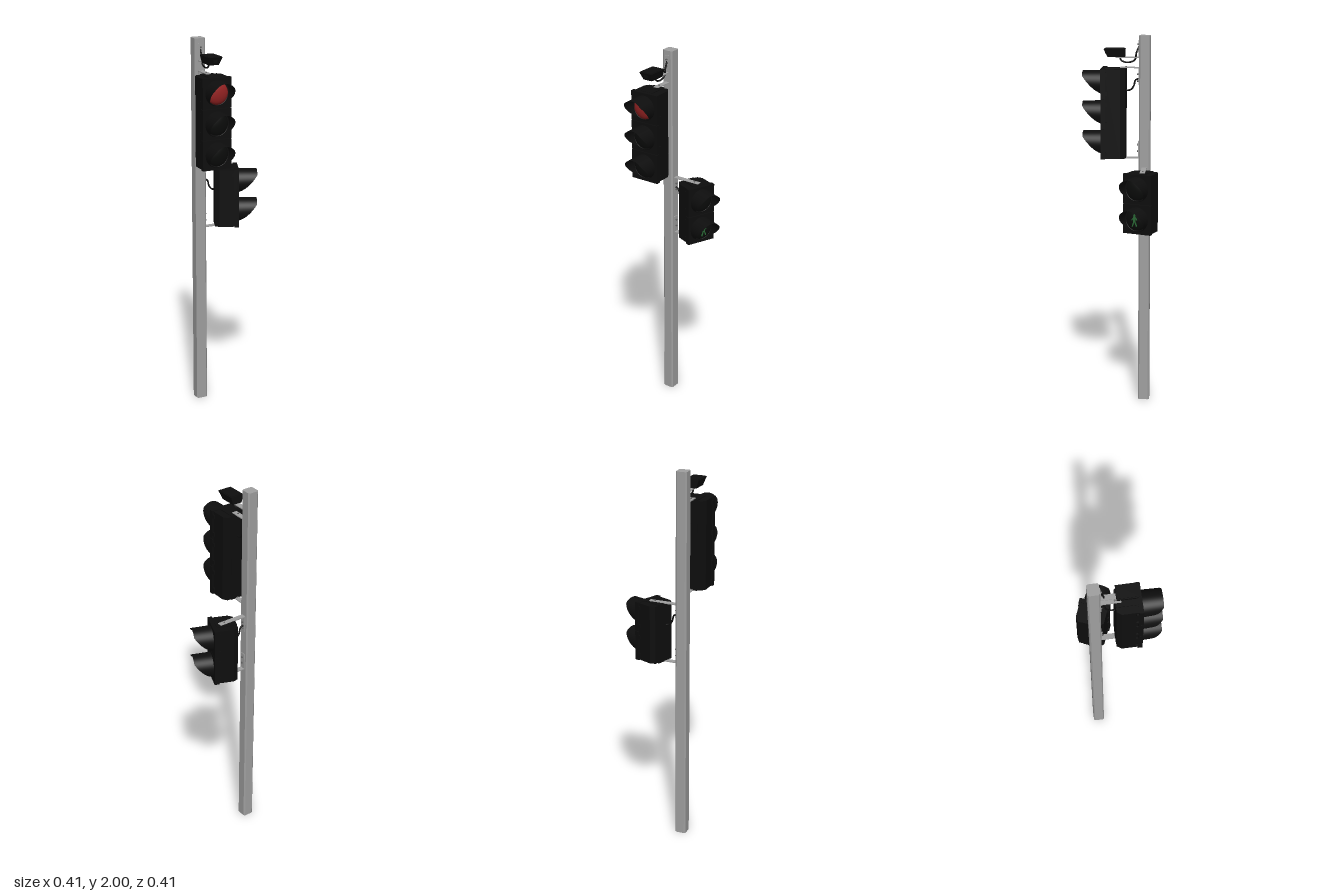
import * as THREE from 'three';
import { ParametricGeometry } from 'three/addons/geometries/ParametricGeometry.js';

const mat = (name, color, side = THREE.FrontSide) => {
  const m = new THREE.MeshStandardMaterial({ color, side });
  m.name = name;
  return m;
};
const V = (x, y, z) => new THREE.Vector3(x, y, z);

export function createModel() {
  const steel = mat('galvanised steel', 0xa0a0a0);
  const darkSteel = mat('bolt steel', 0x6a6a6a);
  const black = mat('black housing', 0x0e0e0e, THREE.DoubleSide);
  const glass = mat('unlit lens', 0x0b0c0b);
  const red = mat('red lens', 0x962323);
  const green = mat('green figure', 0x2a6a36);

  const root = new THREE.Group();
  root.name = 'trafficSignalPost';

  const add = (parent, name, geo, m, x = 0, y = 0, z = 0) => {
    const mesh = new THREE.Mesh(geo, m);
    mesh.name = name;
    mesh.position.set(x, y, z);
    parent.add(mesh);
    return mesh;
  };
  const group = (parent, name, x, y, z, turn = 0) => {
    const g = new THREE.Group();
    g.name = name;
    g.position.set(x, y, z);
    g.rotation.y = turn;
    parent.add(g);
    return g;
  };
  const box = (w, h, d) => new THREE.BoxGeometry(w, h, d);
  // Upright prism from [x, z] plan points
  const prism = (plan, height) => {
    const shape = new THREE.Shape(plan.map(([x, z]) => new THREE.Vector2(x, -z)));
    return new THREE.ExtrudeGeometry(shape, { depth: height, bevelEnabled: false }).rotateX(-Math.PI / 2);
  };
  const cable = (parent, points) => add(parent, 'cable',
    new THREE.TubeGeometry(new THREE.CatmullRomCurve3(points), 24, 0.0045, 8), black);

  // Square post with chamfered corners
  const h = 0.03, c = 0.023;
  const post = prism([[-h, -c], [-c, -h], [c, -h], [h, -c], [h, c], [c, h], [-c, h], [-h, c]], 2);
  add(root, 'post', post, steel, -0.125, 0, -0.125);

  // Visor: a tube whose length shrinks from the crown down to the sides
  const visorGeo = new ParametricGeometry((u, v, p) => {
    const a = (u * 2 - 1) * 2.5, t = Math.abs(a);
    const len = 0.1 - 0.094 * Math.pow(Math.max(0, (t - 0.85) / 1.65), 1.25);
    const r = 0.066 - 0.002 * v;
    p.set(r * Math.sin(a), r * Math.cos(a), len * v);
  }, 40, 4);
  const lensGeo = new THREE.SphereGeometry(0.059, 32, 10, 0, Math.PI * 2, 0, Math.PI / 2)
    .rotateX(Math.PI / 2).scale(1, 1, 0.4);

  // One signal head; lens materials run from the bottom upward
  const signalHead = (name, lenses, x, y, z, turn) => {
    const g = group(root, name, x, y, z, turn);
    const H = lenses.length * 0.16;
    add(g, 'housing', prism([[-0.074, 0.085], [-0.074, 0], [-0.058, -0.024], [0.058, -0.024],
      [0.074, 0], [0.074, 0.085]], H - 0.008), black, 0, 0.004, 0);
    add(g, 'housingRidge', box(0.07, H, 0.108), black, 0, H / 2, 0.029);
    lenses.forEach((lens, i) => {
      const s = group(g, 'lampSection', 0, 0.08 + i * 0.16, 0);
      add(s, 'door', box(0.16, 0.157, 0.024), black, 0, 0, 0.092);
      add(s, 'lensRing', new THREE.TorusGeometry(0.062, 0.004, 8, 36), black, 0, 0, 0.105);
      add(s, 'lens', lensGeo, lens, 0, 0, 0.104);
      add(s, 'visor', visorGeo, black, 0, 0, 0.104);
      for (const sx of [-1, 1]) {
        add(s, 'hingeLug', box(0.008, 0.02, 0.014), black, sx * 0.076, 0.05, 0.076);
        add(s, 'hingeLug', box(0.008, 0.02, 0.014), black, sx * 0.076, -0.05, 0.076);
      }
    });
    return g;
  };
  signalHead('vehicleSignal', [glass, glass, red], -0.125, 1.35, 0, 0);
  const walk = signalHead('pedestrianSignal', [glass, glass], -0.003, 0.98, -0.137, 1.19);

  // Walking figure made of thin plates in front of the lower lens
  const figure = group(walk, 'walkingFigure', 0, 0.08, 0.129);
  const limb = (name, x1, y1, x2, y2, w) => {
    const dx = x2 - x1, dy = y2 - y1;
    add(figure, name, box(w, Math.hypot(dx, dy) + w * 0.4, 0.004), green,
      (x1 + x2) / 2, (y1 + y2) / 2, 0).rotation.z = Math.atan2(-dx, dy);
  };
  add(figure, 'head', new THREE.CylinderGeometry(0.006, 0.006, 0.004, 16).rotateX(Math.PI / 2), green, 0, 0.028, 0);
  limb('torso', 0, 0.019, 0, -0.004, 0.012);
  limb('frontArm', -0.004, 0.017, -0.015, 0.001, 0.005);
  limb('backArm', 0.004, 0.017, 0.014, 0.003, 0.005);
  limb('frontLeg', -0.002, -0.004, -0.012, -0.032, 0.006);
  limb('backLeg', 0.002, -0.004, 0.012, -0.03, 0.006);

  // Angle bracket: a flat arm along local +z, and a bolted tab on the post
  const bracket = (y, length, dir, turn) => {
    const g = group(root, 'bracket', -0.125, y, -0.125, turn);
    add(g, 'bracketArm', box(0.028, 0.005, length), steel, 0, 0, 0.03 + length / 2);
    add(g, 'bracketTab', box(0.028, 0.09, 0.004), steel, 0, dir * 0.045, 0.032);
    add(g, 'armBolt', new THREE.CylinderGeometry(0.005, 0.005, 0.006, 6), darkSteel, 0, 0.003, length);
    for (const k of [0.035, 0.07]) {
      add(g, 'tabBolt', new THREE.CylinderGeometry(0.005, 0.005, 0.008, 6).rotateX(Math.PI / 2),
        darkSteel, 0, dir * k, 0.037);
    }
  };
  bracket(1.831, 0.1, -1, 0);
  bracket(1.351, 0.1, 1, 0);
  bracket(1.885, 0.125, 1, 0);
  bracket(1.3, 0.155, -1, Math.PI / 2);
  bracket(0.982, 0.155, 1, Math.PI / 2);

  // Detector: a box tapered below and cut back under the front
  const detGeo = box(0.076, 0.042, 0.11).toNonIndexed();
  const pos = detGeo.attributes.position;
  for (let i = 0; i < pos.count; i++) {
    if (pos.getY(i) < 0) {
      pos.setX(i, pos.getX(i) * 0.68);
      if (pos.getZ(i) > 0) pos.setZ(i, 0.035);
    }
  }
  detGeo.computeVertexNormals();
  const detector = group(root, 'detector', -0.125, 1.908, 0.035);
  add(detector, 'detectorCase', detGeo, black);
  add(detector, 'detectorLid', box(0.066, 0.006, 0.1), black, 0, 0.021, 0);
  add(detector, 'detectorEye', new THREE.CylinderGeometry(0.012, 0.012, 0.006, 20).rotateX(Math.PI / 2),
    glass, 0, 0.004, 0.046);

  // Cables from each device into the post
  cable(root, [V(-0.125, 1.89, 0.01), V(-0.125, 1.868, 0), V(-0.125, 1.858, -0.03),
    V(-0.125, 1.87, -0.07), V(-0.125, 1.91, -0.08), V(-0.125, 1.95, -0.097)]);
  cable(root, [V(-0.125, 1.71, -0.02), V(-0.125, 1.715, -0.05), V(-0.125, 1.735, -0.066),
    V(-0.125, 1.765, -0.075), V(-0.125, 1.775, -0.097)]);
  cable(root, [V(-0.02, 1.18, -0.13), V(-0.05, 1.185, -0.125), V(-0.066, 1.205, -0.125),
    V(-0.075, 1.235, -0.125), V(-0.097, 1.245, -0.125)]);

  return root;
}
